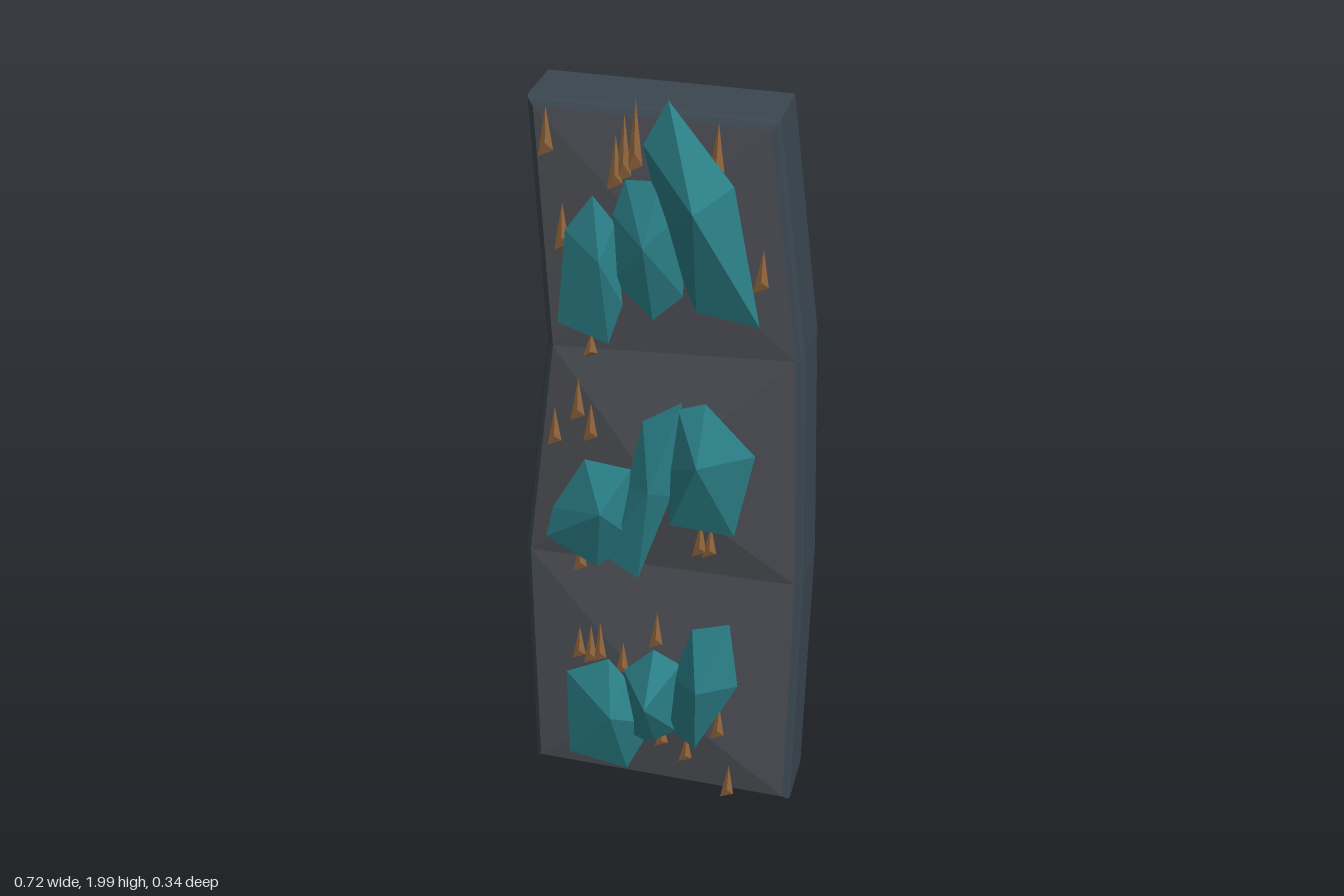
import * as THREE from 'three';

const mat = (color) => new THREE.MeshStandardMaterial({ color, flatShading: true, side: THREE.DoubleSide });

// Mesh from a list of triangles, each three [x, y, z] corners
function facets(name, tris, material) {
  const geo = new THREE.BufferGeometry();
  geo.setAttribute('position', new THREE.Float32BufferAttribute(tris.flat(2), 3));
  geo.computeVertexNormals();
  const mesh = new THREE.Mesh(geo, material);
  mesh.name = name;
  return mesh;
}

// Shallow faceted pyramid: triangles from each edge of a ring to an apex
const fan = (ring, apex) => ring.map((p, i) => [p, ring[(i + 1) % ring.length], apex]);

// Counter-clockwise flat ring at depth z
function ringAt(points, z) {
  const area = points.reduce((s, p, i) => {
    const q = points[(i + 1) % points.length];
    return s + p[0] * q[1] - q[0] * p[1];
  }, 0);
  return (area < 0 ? [...points].reverse() : points).map(([x, y]) => [x, y, z]);
}

// Band of quads between two rings of equal length
function band(a, b) {
  return a.flatMap((p, i) => {
    const j = (i + 1) % a.length;
    return [[p, a[j], b[j]], [p, b[j], b[i]]];
  });
}

export function createModel() {
  const group = new THREE.Group();
  const stone = mat(0x4c4f55), edge = mat(0x3a4650), teal = mat(0x2b8088), brown = mat(0x97693f);

  // Slab levels from bottom to top: left x, left y, right x, right y
  const levels = [
    [-0.36, 0.005, 0.355, 0.01],
    [-0.36, 0.725, 0.36, 0.74],
    [-0.28, 1.33, 0.335, 1.37],
    [-0.305, 1.94, 0.258, 1.94],
  ];
  const outline = (inset, z) => {
    const lv = levels.map(([lx, ly, rx, ry], i) => {
      const dy = i === 0 ? inset : i === 3 ? -inset : 0;
      return [[lx + inset, ly + dy, z], [rx - inset, ry + dy, z]];
    });
    return [...lv.map((l) => l[1]), ...lv.map((l) => l[0]).reverse()];
  };

  // Open-backed rim with a narrow bevel
  const back = outline(0, -0.17), front = outline(0, -0.02);
  const bevel = outline(0.006, -0.008), face = outline(0.018, 0);
  group.add(facets('rim', [...band(back, front), ...band(front, bevel), ...band(bevel, face)], edge));

  // Three raised front panels, each a four-sided shallow pyramid
  const peaks = [[-0.01, 0.35, 0.047], [-0.02, 1.02, 0.046], [-0.02, 1.66, 0.02]];
  peaks.forEach((peak, i) => {
    const ring = [face[7 - i], face[i], face[i + 1], face[6 - i]];
    group.add(facets('frontPanel' + (i + 1), fan(ring, peak), stone));
  });

  // Crystals: apex, then outline
  const crystals = [
    // lower cluster
    [[-0.1, 0.32, 0.135], [[-0.235, 0.4], [-0.12, 0.465], [-0.075, 0.41], [0, 0.27], [-0.075, 0.098], [-0.235, 0.12]]],
    [[0, 0.4, 0.17], [[-0.08, 0.435], [0, 0.52], [0.07, 0.485], [0.06, 0.26], [0, 0.215], [-0.06, 0.2]]],
    [[0.13, 0.47, 0.157], [[0.1, 0.605], [0.195, 0.64], [0.22, 0.445], [0.11, 0.21], [0.03, 0.27], [0.05, 0.44]]],
    // middle cluster
    [[-0.115, 0.96, 0.135], [[-0.17, 1.07], [-0.055, 1.06], [-0.05, 0.86], [-0.145, 0.755], [-0.275, 0.825], [-0.255, 0.915]]],
    [[0, 1.03, 0.12], [[-0.025, 1.2], [0.07, 1.265], [0.045, 1], [-0.04, 0.74], [-0.14, 0.8], [-0.065, 1.01]]],
    [[0.12, 1.13, 0.135], [[0.06, 1.245], [0.125, 1.27], [0.245, 1.145], [0.2, 0.91], [0.04, 0.915], [0.035, 1.07]]],
    // upper cluster
    [[-0.11, 1.62, 0.115], [[-0.135, 1.76], [-0.085, 1.7], [-0.07, 1.5], [-0.105, 1.395], [-0.225, 1.435], [-0.2, 1.67]]],
    [[-0.01, 1.67, 0.12], [[-0.06, 1.805], [0.015, 1.81], [0.07, 1.745], [0.07, 1.54], [0, 1.47], [-0.09, 1.56], [-0.09, 1.72]]],
    [[0.11, 1.78, 0.157], [[0.035, 1.995], [0.18, 1.815], [0.245, 1.485], [0.1, 1.505], [0.02, 1.7], [-0.02, 1.89]]],
  ];
  crystals.forEach(([apex, pts], i) => {
    group.add(facets('crystal' + (i + 1), fan(ringAt(pts, 0.07), apex), teal));
  });

  // Thin shards: tip x, tip y, height
  const shards = [
    [-0.24, 1.95, 0.12], [-0.21, 1.73, 0.12], [-0.085, 1.9, 0.13], [-0.065, 1.95, 0.16], [-0.04, 1.985, 0.17],
    [0.14, 1.95, 0.13], [0.245, 1.67, 0.11], [-0.15, 1.41, 0.07], [-0.185, 1.285, 0.12], [-0.245, 1.195, 0.11],
    [-0.155, 1.22, 0.11], [-0.19, 0.83, 0.11], [0.115, 0.93, 0.11], [0.14, 0.92, 0.1], [-0.2, 0.545, 0.11],
    [-0.17, 0.555, 0.13], [-0.145, 0.565, 0.13], [-0.085, 0.515, 0.11], [0.005, 0.63, 0.12],
    [0.02, 0.27, 0.09], [0.085, 0.24, 0.1], [0.17, 0.36, 0.12], [0.2, 0.155, 0.115],
  ];
  shards.forEach(([x, y, h], i) => {
    const ring = ringAt([[x, y], [x - 0.022, y - h], [x + 0.014, y - h + 0.018]], 0.054);
    group.add(facets('shard' + (i + 1), fan(ring, [x - 0.002, y - h * 0.7, 0.062]), brown));
  });

  return group;
}
